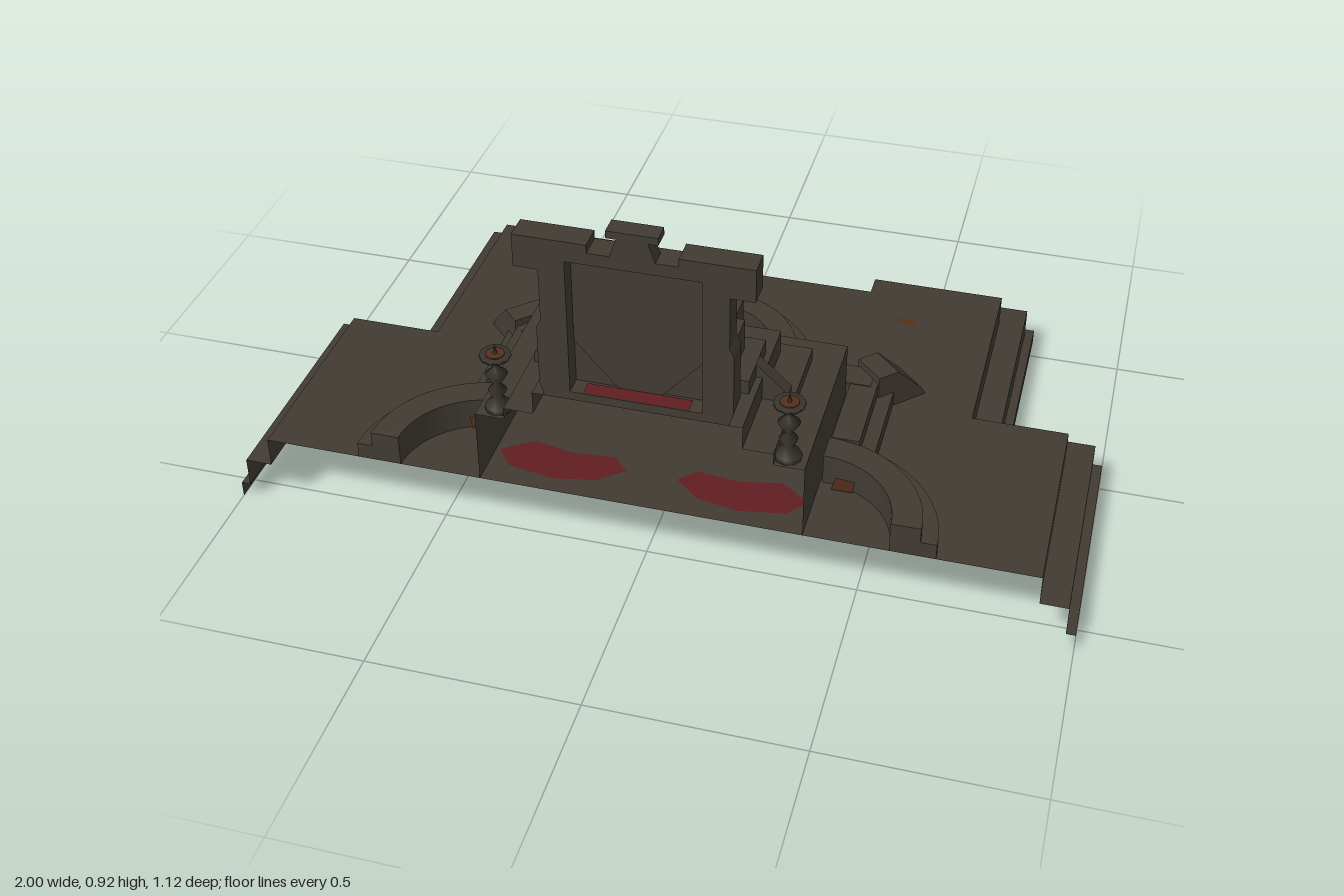
import * as THREE from 'three';

const mat = (name, color) => {
  const m = new THREE.MeshStandardMaterial({ color, side: THREE.DoubleSide });
  m.name = name;
  return m;
};

export function createModel() {
  const stone = mat('dark stone', 0x413b33);
  const iron = mat('dark iron', 0x37332d);
  const red = mat('deep red', 0x601e21);
  const rust = mat('rust stain', 0x55301c);
  const root = new THREE.Group();
  root.name = 'altar';

  const add = (name, geo, m = stone, parent = root) => {
    const mesh = new THREE.Mesh(geo, m);
    mesh.name = name;
    parent.add(mesh);
    return mesh;
  };
  // Box given by its limits
  const box = (name, x0, x1, y0, y1, z0, z1, m) =>
    add(name, new THREE.BoxGeometry(Math.abs(x1 - x0), y1 - y0, z1 - z0), m)
      .position.set((x0 + x1) / 2, (y0 + y1) / 2, (z0 + z1) / 2);
  const shapeOf = pts => new THREE.Shape(pts.map(p => new THREE.Vector2(p[0], -p[1])));
  const upright = pts => new THREE.Shape(pts.map(p => new THREE.Vector2(...p)));
  const mirror = half => [...half, ...half.map(([x, z]) => [-x, z]).reverse()];

  // Walls along an open plan outline
  const walls = (name, pts, y0, y1, m) => {
    const pos = [];
    for (let i = 0; i < pts.length - 1; i++) {
      const [ax, az] = pts[i], [bx, bz] = pts[i + 1];
      pos.push(ax, y0, az, bx, y0, bz, bx, y1, bz, ax, y0, az, bx, y1, bz, ax, y1, az);
    }
    const g = new THREE.BufferGeometry();
    g.setAttribute('position', new THREE.Float32BufferAttribute(pos, 3));
    g.computeVertexNormals();
    add(name, g, m);
  };
  // Flat surface from a plan outline, optionally with a hole
  const flat = (name, pts, y, m, hole) => {
    const s = shapeOf(pts);
    if (hole) s.holes.push(shapeOf(hole));
    add(name, new THREE.ShapeGeometry(s).rotateX(-Math.PI / 2).translate(0, y, 0), m);
  };
  const tread = (name, outer, inner, y) => flat(name, [...outer, ...[...inner].reverse()], y);
  // Upright flat surface and upright slab in (x, y)
  const sheet = (name, pts, z, m) =>
    add(name, new THREE.ShapeGeometry(upright(pts)).translate(0, 0, z), m);
  const slab = (name, shape, z0, z1, m) =>
    add(name, new THREE.ExtrudeGeometry(shape, { depth: z1 - z0, bevelEnabled: false }).translate(0, 0, z0), m);
  // Plan shape raised between two heights
  const raise = (name, shape, y0, y1, m) =>
    add(name, new THREE.ExtrudeGeometry(shape, { depth: y1 - y0, bevelEnabled: false, curveSegments: 16 })
      .rotateX(-Math.PI / 2).translate(0, y0, 0), m);
  // Side profile in (z, y), extended across x
  const prism = (name, zy, w, m) =>
    add(name, new THREE.ExtrudeGeometry(upright(zy), { depth: w, bevelEnabled: false })
      .rotateY(-Math.PI / 2).translate(w / 2, 0, 0), m);
  // Curved band in plan
  const band = (cx, cz, r0, r1, a0, a1) => {
    const s = new THREE.Shape();
    s.absarc(cx, -cz, r1, a0, a1, false);
    s.absarc(cx, -cz, r0, a1, a0, true);
    return s;
  };

  // Stepped base, open at the front and below
  const baseOutline = d => mirror([
    [1 - d, 0.56], [1 - d, -0.04 + d], [0.77 - d, -0.04 + d], [0.77 - d, -0.56 + d],
    [0.33 + d * 0.2, -0.56 + d], [0.33 + d * 0.2, -0.5 + d]]);
  const base = [0, 0.022, 0.087].map(baseOutline);
  const baseY = [0, 0.04, 0.115, 0.19];
  base.forEach((o, i) => {
    walls('baseRiser', o, baseY[i], baseY[i + 1]);
    if (i < 2) tread('baseTread', o, base[i + 1], baseY[i + 1]);
  });
  flat('baseFloor', base[2], 0.19);

  // Altar tiers with a recess for the chute, open at the front
  const tiers = [
    mirror([[0.38, 0.56], [0.38, 0.09], [0.15, 0.09], [0.15, 0.2]]),
    mirror([[0.31, 0.56], [0.31, 0.16], [0.15, 0.16], [0.15, 0.2]]),
    mirror([[0.24, 0.56], [0.24, 0.19], [0.15, 0.19], [0.15, 0.2]]),
    mirror([[0.155, 0.56], [0.155, 0.21]])];
  const tierY = [0.19, 0.377, 0.407, 0.465, 0.555];
  tiers.forEach((o, i) => {
    walls('altarRiser', o, tierY[i], tierY[i + 1]);
    if (i < 3) tread('altarTread', o, tiers[i + 1], tierY[i + 1]);
  });
  // Basin on top
  const rect = (x, z0, z1) => [[x, z0], [x, z1], [-x, z1], [-x, z0]];
  const loop = p => [...p, p[0]];
  const rim = rect(0.138, 0.23, 0.49), pool = rect(0.11, 0.26, 0.46);
  flat('altarTop', rect(0.155, 0.21, 0.5), 0.555, stone, rim);
  walls('basinRim', loop(rim), 0.555, 0.565);
  flat('basinRimTop', rim, 0.565, stone, pool);
  walls('basinInside', loop(pool), 0.535, 0.565);
  flat('basinFloor', pool, 0.535, red);

  // Chute running down to the pool
  prism('chute', [[0.21, 0.465], [0.192, 0.46], [0.165, 0.405], [0.12, 0.37], [0.09, 0.29], [0.085, 0.2],
    [0.14, 0.2], [0.16, 0.3], [0.21, 0.34]], 0.06);

  // Tall back plate with a recessed shield panel
  const plateHalf = [[0.21, 0.465], [0.22, 0.5], [0.22, 0.65], [0.21, 0.67], [0.21, 0.8],
    [0.265, 0.8], [0.265, 0.88], [0.1, 0.88], [0.1, 0.86]];
  const opening = mirror([[0.15, 0.487], [0.15, 0.83]]);
  const plate = upright(mirror(plateHalf));
  plate.holes.push(upright(opening));
  slab('plateFrame', plate, 0.5, 0.56);
  sheet('platePanel', opening, 0.515);
  slab('plateShield', upright(mirror([[0.05, 0.488], [0.149, 0.6], [0.149, 0.83]])), 0.508, 0.522);
  flat('plateLedgePool', rect(0.12, 0.523, 0.56), 0.489, red);
  slab('crestNeck', upright(mirror([[0.05, 0.86], [0.035, 0.905]])), 0.52, 0.56);
  box('crestCap', -0.057, 0.057, 0.905, 0.923, 0.515, 0.56);

  // Pool and the curved bench around it
  flat('poolFloor', mirror([[0.15, 0.2], [0.15, 0.09], [0.19, 0.09], [0.19, 0.0], [0.15, -0.04],
    [0.145, -0.1], [0.08, -0.145], [0.04, -0.14]]), 0.196, red);
  raise('poolBenchStep', band(0, 0.03, 0.19, 0.28, 0, Math.PI), 0.19, 0.225);
  raise('poolBench', band(0, 0.03, 0.18, 0.24, 0, Math.PI), 0.19, 0.27);
  prism('poolCentreStone', [[-0.28, 0.19], [-0.25, 0.281], [-0.12, 0.281], [-0.12, 0.19]], 0.08);

  const candleProfile = [[0, 0.377], [0.032, 0.377], [0.03, 0.39], [0.011, 0.41], [0.022, 0.43],
    [0.008, 0.447], [0.026, 0.475], [0.008, 0.49], [0.008, 0.512], [0.036, 0.522], [0.036, 0.529], [0, 0.529]];
  for (const s of [-1, 1]) {
    // Low walls linking the pool bench to the side benches
    box('linkWallStep', s * 0.2, s * 0.44, 0.19, 0.225, -0.015, 0.09);
    box('linkWall', s * 0.19, s * 0.44, 0.19, 0.27, 0.02, 0.09);
    box('sideWallStep', s * 0.38, s * 0.49, 0.19, 0.23, 0.04, 0.29);
    box('sideWall', s * 0.39, s * 0.455, 0.19, 0.268, 0.04, 0.3);
    const corner = prism('cornerStone', [[-0.075, 0.19], [-0.06, 0.215], [0.01, 0.287], [0.065, 0.287], [0.065, 0.19]], 0.09);
    corner.position.set(s * 0.473, 0, 0);
    corner.rotation.y = -s * Math.PI / 4;
    // Quarter-round side benches
    const a0 = s > 0 ? 0 : Math.PI / 2, a1 = a0 + Math.PI / 2;
    raise('sideBenchStep', band(s * 0.385, 0.56, 0.19, 0.295, a0, a1), 0.19, 0.23);
    raise('sideBench', band(s * 0.385, 0.56, 0.19, 0.258, a0, a1), 0.19, 0.268);
    // Side brackets on the altar
    box('bracketBlock', s * 0.15, s * 0.225, 0.465, 0.5, 0.28, 0.44);
    box('bracketHead', s * 0.12, s * 0.185, 0.465, 0.577, 0.32, 0.39);
    slab('bracketStrut', upright([[0.2, 0.377], [0.3, 0.377], [0.3, 0.43], [0.225, 0.5], [0.2, 0.5]]
      .map(([x, y]) => [s * x, y])), 0.34, 0.375);
    // Candle stands
    const candle = new THREE.Group();
    candle.name = 'candleStand';
    candle.position.set(s * 0.335, 0, 0.524);
    root.add(candle);
    add('candleStem', new THREE.LatheGeometry(candleProfile.map(p => new THREE.Vector2(...p)), 10), iron, candle);
    add('candleSpike', new THREE.ConeGeometry(0.006, 0.027, 6).translate(0, 0.542, 0), iron, candle);
    add('candleBowl', new THREE.CylinderGeometry(0.022, 0.022, 0.004, 10).translate(0, 0.529, 0), rust, candle);
    // Painted stains on the floor, seen from above and below
    const side = pts => pts.map(([x, z]) => [s * x, z]);
    for (const y of [0.1885, 0.1915])
      flat('floorStain', side([[0.06, 0.45], [0.1, 0.41], [0.2, 0.42], [0.3, 0.4], [0.37, 0.45], [0.33, 0.5],
        [0.22, 0.52], [0.12, 0.5]]), y, red);
    flat('smallFloorStain', side([[0.43, -0.31], [0.485, -0.315], [0.48, -0.285], [0.45, -0.29]]), 0.1915, rust);
    // Painted stains on the inner faces
    sheet('recessStain', side([[0, 0.2], [0, 0.32], [0.05, 0.31], [0.09, 0.275], [0.148, 0.285],
      [0.148, 0.225], [0.12, 0.2]]), 0.204, rust);
    sheet('riserStain', side([[0.152, 0.23], [0.152, 0.285], [0.22, 0.275], [0.23, 0.245], [0.19, 0.22]]), 0.094, rust);
    sheet('benchStain', side([[0.41, 0.193], [0.46, 0.193], [0.465, 0.225], [0.42, 0.23]]), 0.394, rust);
    sheet('panelStain', side([[0.13, 0.828], [0.149, 0.828], [0.149, 0.805]]), 0.524, rust);
  }
  return root;
}
